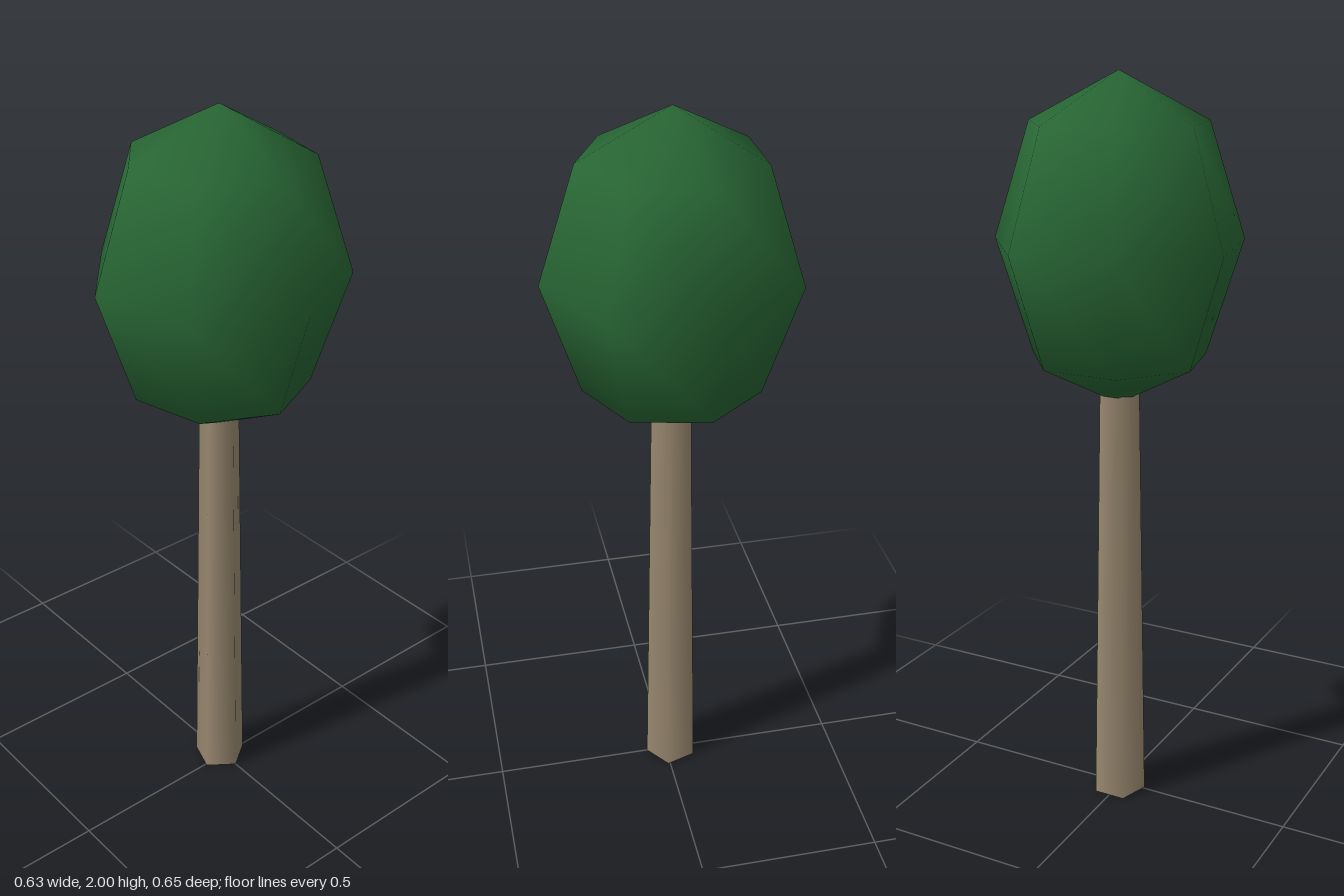
import * as THREE from 'three';

export function createModel() {
  const tree = new THREE.Group();
  tree.name = 'tree';

  const leafGreen = new THREE.MeshStandardMaterial({ color: 0x286634 });
  leafGreen.name = 'leaf green';
  const barkBrown = new THREE.MeshStandardMaterial({ color: 0x9a8970 });
  barkBrown.name = 'bark brown';

  const axisX = -0.017; // shared axis that centres the seven-sided crown's bounds

  // Trunk: tapered five-sided column, one corner towards +x, top hidden in the crown
  const trunkHeight = 1.26;
  const trunk = new THREE.Mesh(
    new THREE.CylinderGeometry(0.054, 0.0745, trunkHeight, 5, 1, false, Math.PI / 2),
    barkBrown
  );
  trunk.name = 'trunk';
  trunk.position.set(axisX, trunkHeight / 2, 0);

  // Crown: smooth-shaded low-poly ellipsoid, one corner towards +x
  const crown = new THREE.Mesh(
    new THREE.SphereGeometry(1, 7, 4, Math.PI).scale(0.333, 0.425, 0.333),
    leafGreen
  );
  crown.name = 'crown';
  crown.position.set(axisX, 1.575, 0);

  tree.add(trunk, crown);
  return tree;
}
